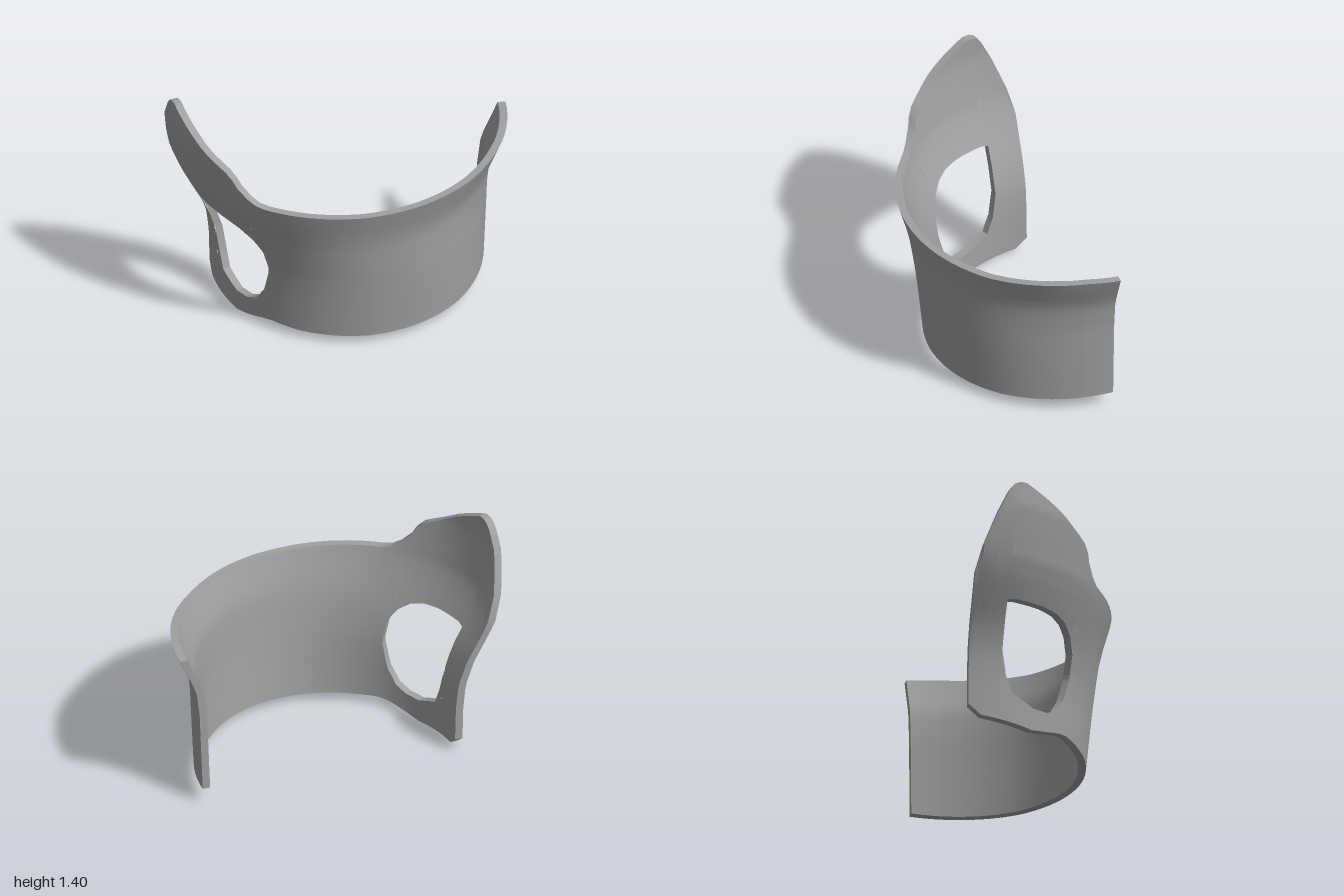
import * as THREE from 'three';
import { toCreasedNormals } from 'three/addons/utils/BufferGeometryUtils.js';

// Piecewise-linear curve through [input, output] points
const curve = (pts) => (v) => {
  if (v <= pts[0][0]) return pts[0][1];
  for (let i = 1; i < pts.length; i++) {
    const [a, p] = pts[i - 1], [b, q] = pts[i];
    if (v <= b) return p + (q - p) * (v - a) / (b - a);
  }
  return pts[pts.length - 1][1];
};

// Horizontal reach of the shell at each height: right side, left side, front
const reachNegX = curve([[0, 0.718], [0.3, 0.725], [0.45, 0.74], [0.6, 0.79], [0.75, 0.87], [0.85, 0.92], [0.95, 0.96], [1.1, 0.99], [1.25, 1.015], [1.4, 1.01]]);
const reachPosX = curve([[0, 0.858], [0.6, 0.88], [0.77, 0.9], [0.9, 0.955], [1, 0.998], [1.4, 1]]);
const reachFront = curve([[0, 0.35], [0.4, 0.39], [0.7, 0.42], [0.8, 0.44], [0.96, 0.485], [1.4, 0.55]]);

// Rims and window outline as heights over the sweep angle in degrees
const topPts = [[-90, 0.85], [-87.7, 1], [-83, 1.21], [-79.3, 1.35], [-77.8, 1.385], [-76, 1.4], [-73.8, 1.4], [-61, 1.29], [-54, 1.22],
  [-47.6, 1.165], [-45, 1.12], [-43.5, 1.07], [-40, 1.01], [-37, 0.98], [-33, 0.97], [0, 0.963], [45, 0.97], [66, 1], [79, 1.01], [90, 1]];
const bottomPts = [[-90, 0.09], [-85, 0.03], [-62, 0.004], [-54, 0.028], [-47, 0.055], [-42, 0.065], [-30, 0.055], [0, 0.05], [45, 0.063], [90, 0.095]];
const winTopPts = [[-77, 0.72], [-74, 0.73], [-62, 0.73], [-55, 0.72], [-50, 0.695], [-46, 0.645], [-43, 0.56]];
const winLowPts = [[-77, 0.45], [-75, 0.3], [-72, 0.2], [-62, 0.14], [-55, 0.145], [-50, 0.18], [-46, 0.27], [-43, 0.42]];
const [top, bottom, winTop, winLow] = [topPts, bottomPts, winTopPts, winLowPts].map(curve);

const BACK = -0.49, THICK = 0.045, ROWS = 18;
const WIN_START = -77, WIN_END = -43;

// Point on the shell: inset 0 is the outer face, THICK the inner one
function point(deg, y, inset) {
  const a = THREE.MathUtils.degToRad(deg);
  const l = reachNegX(y), r = reachPosX(y);
  return [(r - l) / 2 + ((r + l) / 2 - inset) * Math.sin(a), y,
    BACK + (reachFront(y) - BACK - inset) * Math.cos(a)];
}

function createShell() {
  const pos = [];
  const quad = (a, b, c, d) => pos.push(...a, ...b, ...c, ...a, ...c, ...d);

  // Columns: regular steps plus every outline point
  const angles = new Set([...topPts, ...bottomPts, ...winTopPts, ...winLowPts].map((p) => p[0]));
  for (let d = -90; d <= 90; d += 4) angles.add(d);
  const columns = [...angles].sort((a, b) => a - b);

  // Double-walled panel between two height curves
  function panel(from, to, lo, hi) {
    const cols = columns.filter((c) => c >= from && c <= to);
    for (let i = 0; i < cols.length - 1; i++) {
      const p = cols[i], q = cols[i + 1];
      const at = (d, j, inset) => point(d, lo(d) + (hi(d) - lo(d)) * j / ROWS, inset);
      for (let j = 0; j < ROWS; j++) {
        quad(at(p, j, 0), at(q, j, 0), at(q, j + 1, 0), at(p, j + 1, 0));
        quad(at(q, j, THICK), at(p, j, THICK), at(p, j + 1, THICK), at(q, j + 1, THICK));
      }
      quad(at(p, ROWS, 0), at(q, ROWS, 0), at(q, ROWS, THICK), at(p, ROWS, THICK));
      quad(at(p, 0, THICK), at(q, 0, THICK), at(q, 0, 0), at(p, 0, 0));
    }
  }

  // Edge wall across the thickness; dir -1 faces the start of the sweep
  function edge(deg, lo, hi, dir) {
    const [s, t] = dir < 0 ? [THICK, 0] : [0, THICK];
    for (let j = 0; j < ROWS; j++) {
      const y0 = lo + (hi - lo) * j / ROWS, y1 = lo + (hi - lo) * (j + 1) / ROWS;
      quad(point(deg, y0, s), point(deg, y0, t), point(deg, y1, t), point(deg, y1, s));
    }
  }

  panel(-90, WIN_START, bottom, top);
  panel(WIN_START, WIN_END, bottom, winLow);
  panel(WIN_START, WIN_END, winTop, top);
  panel(WIN_END, 90, bottom, top);
  edge(-90, bottom(-90), top(-90), -1);
  edge(90, bottom(90), top(90), 1);
  edge(WIN_START, winLow(WIN_START), winTop(WIN_START), 1);
  edge(WIN_END, winLow(WIN_END), winTop(WIN_END), -1);

  const geo = new THREE.BufferGeometry();
  geo.setAttribute('position', new THREE.Float32BufferAttribute(pos, 3));
  return toCreasedNormals(geo, 0.6);
}

export function createModel() {
  const group = new THREE.Group();
  group.name = 'curvedGuard';
  const grey = new THREE.MeshStandardMaterial({ color: 0xa0a0a0 });
  grey.name = 'grey';
  const shell = new THREE.Mesh(createShell(), grey);
  shell.name = 'flaredShellWithWindow';
  group.add(shell);
  return group;
}
